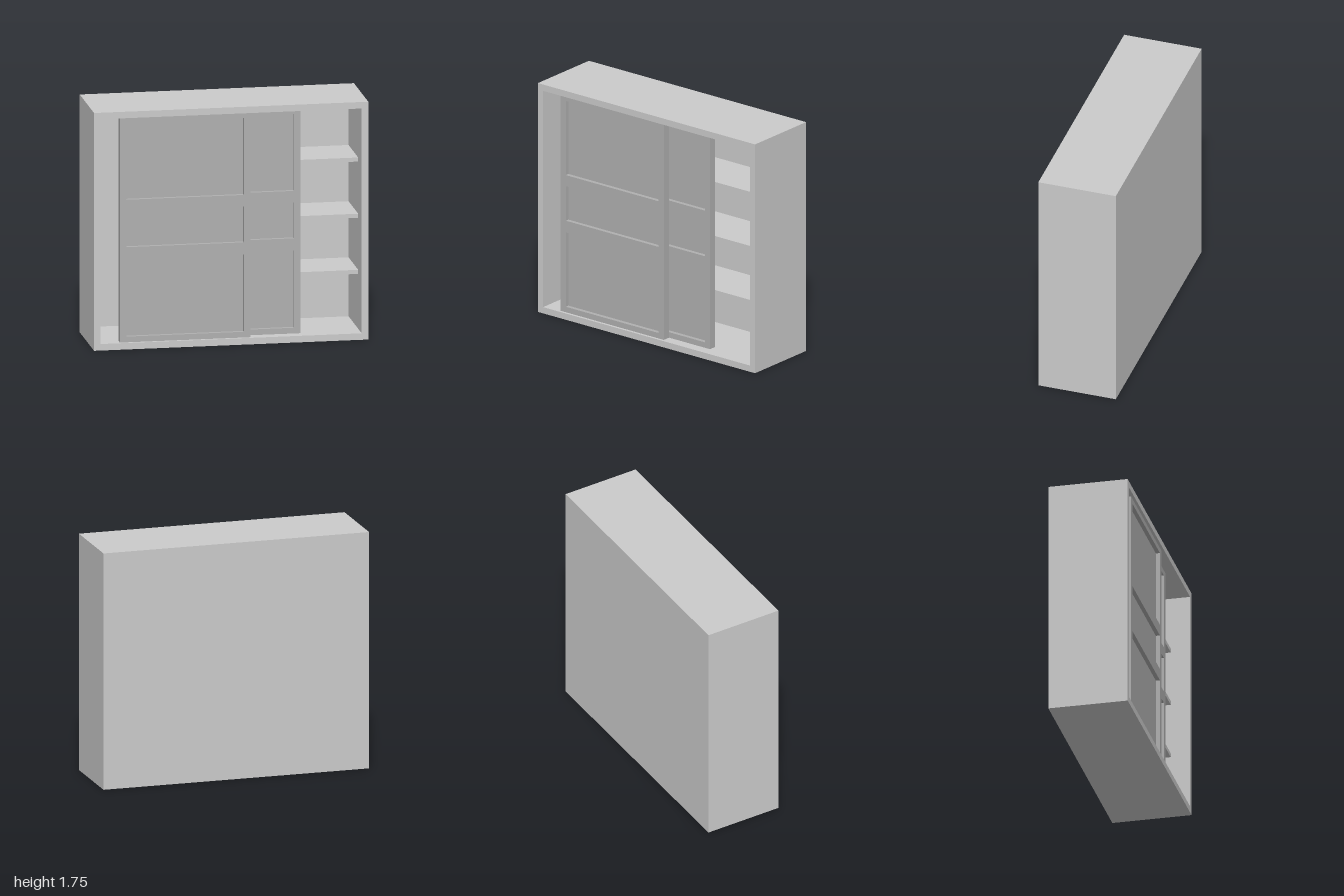
import * as THREE from 'three';

const W = 2, H = 1.755, D = 0.585, T = 0.048;
const grey = new THREE.MeshStandardMaterial({ color: 0xcccccc });
const doorGrey = new THREE.MeshStandardMaterial({ color: 0xb0b0b0 });

// Closed rectangle from two opposite corners
function rect(Type, x0, y0, x1, y1) {
  const r = new Type();
  r.moveTo(x0, y0);
  r.lineTo(x1, y0);
  r.lineTo(x1, y1);
  r.lineTo(x0, y1);
  r.closePath();
  return r;
}

// Flat frame with rectangular openings, from z0 forward by depth
function frame(name, outer, openings, z0, depth, material) {
  const shape = rect(THREE.Shape, ...outer);
  for (const o of openings) shape.holes.push(rect(THREE.Path, ...o));
  const geometry = new THREE.ExtrudeGeometry(shape, { depth, bevelEnabled: false });
  geometry.translate(0, 0, z0);
  const mesh = new THREE.Mesh(geometry, material);
  mesh.name = name;
  return mesh;
}

// Box given by its minimum and maximum corners
function box(name, [x0, y0, z0], [x1, y1, z1], material) {
  const mesh = new THREE.Mesh(new THREE.BoxGeometry(x1 - x0, y1 - y0, z1 - z0), material);
  mesh.position.set((x0 + x1) / 2, (y0 + y1) / 2, (z0 + z1) / 2);
  mesh.name = name;
  return mesh;
}

// Sliding door: frame with three recessed panels
function slidingDoor(name, left, zBack) {
  const door = new THREE.Group();
  door.name = name;
  const width = 0.95, stile = 0.047, depth = 0.06, right = left + width;
  const rows = [[0.09, 0.66], [0.75, 1.015], [1.1, 1.668]];
  const openings = rows.map(([y0, y1]) => [left + stile, y0, right - stile, y1]);
  door.add(frame('doorFrame', [left, T, right, H - T], openings, zBack, depth, doorGrey));
  for (const [x0, y0, x1, y1] of openings) {
    door.add(box('doorPanel', [x0, y0, zBack + 0.01], [x1, y1, zBack + 0.03], doorGrey));
  }
  return door;
}

export function createModel() {
  const model = new THREE.Group();
  model.name = 'slidingDoorWardrobe';
  const back = -D / 2, innerX = W / 2 - T, innerBack = back + T;

  // Carcass: open surround closed by a back board
  model.add(frame('carcass', [-W / 2, 0, W / 2, H], [[-innerX, T, innerX, H - T]], back, D, grey));
  model.add(box('backBoard', [-innerX, T, back], [innerX, H - T, innerBack], grey));

  // Divider and the shelves on its left side
  const shelfFront = 0.15;
  model.add(box('divider', [-0.015, T, innerBack], [0.015, H - T, shelfFront], grey));
  for (const y of [0.453, 0.867, 1.282]) {
    model.add(box('shelf', [0.015, y, innerBack], [innerX, y + 0.03, shelfFront], grey));
  }

  // Two overlapping doors on neighbouring tracks
  model.add(slidingDoor('frontDoor', -0.807, 0.212));
  model.add(slidingDoor('rearDoor', -0.43, 0.152));

  return model;
}
